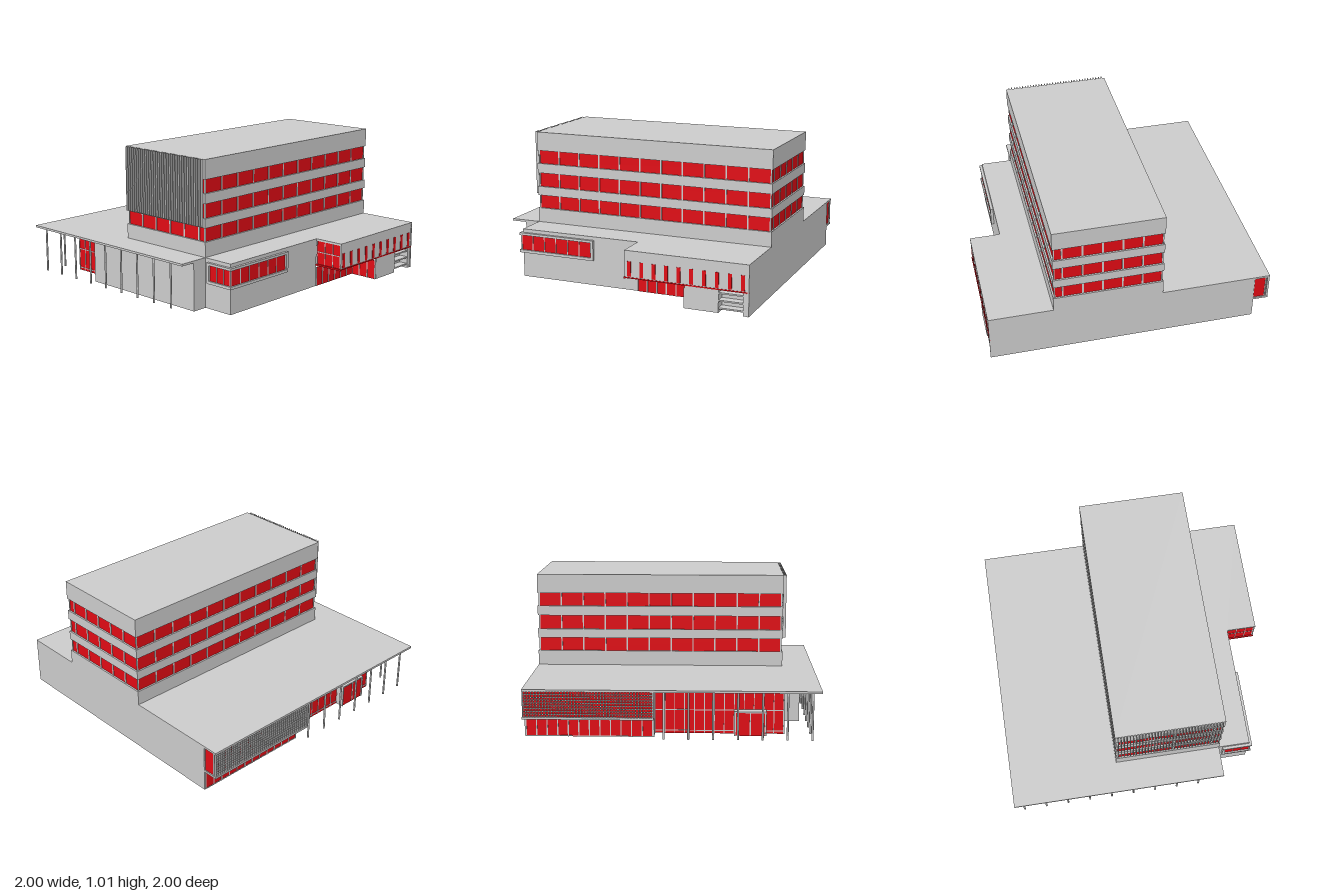
import * as THREE from 'three';

export function createModel() {
  const model = new THREE.Group();
  const grey = new THREE.MeshStandardMaterial({ color: 0xcccccc });
  const red = new THREE.MeshStandardMaterial({ color: 0xe00b14 });

  // Box given by its limits on each axis
  function box(name, mat, x0, x1, y0, y1, z0, z1, parent = model) {
    const mesh = new THREE.Mesh(new THREE.BoxGeometry(x1 - x0, y1 - y0, z1 - z0), mat);
    mesh.position.set((x0 + x1) / 2, (y0 + y1) / 2, (z0 + z1) / 2);
    mesh.name = name;
    parent.add(mesh);
    return mesh;
  }

  function group(name) {
    const g = new THREE.Group();
    g.name = name;
    model.add(g);
    return g;
  }

  // Upright strip: axis is the direction it runs along, c its centre plane
  function strip(name, mat, axis, c, half, a0, a1, y0, y1, parent) {
    if (axis === 'x') box(name, mat, a0, a1, y0, y1, c - half, c + half, parent);
    else box(name, mat, c - half, c + half, y0, y1, a0, a1, parent);
  }

  // Glass sheet with vertical bars at even steps and horizontal bars at given heights
  function glazing(name, axis, c, a0, a1, y0, y1, step, rows = [], w = 0.008) {
    const g = group(name);
    strip('glass', red, axis, c, 0.002, a0, a1, y0, y1, g);
    const n = Math.max(1, Math.round((a1 - a0) / step));
    for (let i = 0; i <= n; i++) {
      const a = a0 + ((a1 - a0) * i) / n;
      strip('mullion', grey, axis, c, 0.005, a - w / 2, a + w / 2, y0, y1, g);
    }
    for (const y of rows) strip('transom', grey, axis, c, 0.0045, a0, a1, y - 0.003, y + 0.003, g);
  }

  // Main roof slab over the whole footprint
  const outline = [[-1, 1], [0.55, 1], [0.55, 0.78], [0.78, 0.78], [0.78, -0.12], [1, -0.12],
    [1, -1], [-1, -1]].map(([x, z]) => new THREE.Vector2(x, -z));
  const roofGeo = new THREE.ExtrudeGeometry(new THREE.Shape(outline), { depth: 0.015, bevelEnabled: false });
  roofGeo.rotateX(-Math.PI / 2);
  const roof = new THREE.Mesh(roofGeo, grey);
  roof.name = 'baseRoof';
  roof.position.y = 0.335;
  model.add(roof);

  // Ground floor walls, open underneath
  const T = 0.01, H = 0.335;
  box('backWall', grey, -0.89, 1, 0, H, -1, -1 + T);
  box('frontWall', grey, -0.46, 0.55, 0, H, 0.89 - T, 0.89);
  box('frontWallReturnLeft', grey, 0.55 - T, 0.55, 0, H, 0.78 - T, 0.89 - T);
  box('frontWallReturnRight', grey, -0.46, -0.46 + T, 0, H, 0.76, 0.89 - T);
  box('stepFrontWall', grey, 0.55, 0.78, 0, H, 0.78 - T, 0.78);
  box('stepSideWall', grey, 0.78 - T, 0.78, 0, H, -0.12, 0.78 - T);

  // Glazed lobby corner
  glazing('lobbyFrontGlazing', 'x', 0.76, -0.785, -0.46, 0, H, 0.065, [0.02, 0.165, 0.305, 0.33], 0.006);
  glazing('lobbySideGlazing', 'z', -0.785, -0.12, 0.76, 0, H, 0.068, [0.02, 0.165, 0.305, 0.33], 0.006);

  // Entrance porch set through the side glazing
  const porch = group('entrancePorch');
  box('porchRoof', grey, -0.85, -0.72, 0.16, 0.17, 0.42, 0.64, porch);
  for (const z of [0.42, 0.632]) box('porchCheek', grey, -0.85, -0.72, 0, 0.16, z, z + 0.008, porch);
  glazing('porchDoors', 'z', -0.842, 0.428, 0.632, 0, 0.16, 0.1);

  // Left gallery overhanging its lower windows
  box('galleryStepWall', grey, -0.89, -0.785, 0, H, -0.12 - T, -0.12);
  glazing('galleryLowerGlazing', 'z', -0.89, -0.99, -0.13, 0, 0.145, 0.072, [0.004, 0.14]);
  box('gallerySoffit', grey, -1, -0.885, 0.145, 0.16, -1, -0.12);
  box('galleryFrontEnd', grey, -1, -0.89, 0.16, H, -0.12 - T, -0.12);
  glazing('galleryBackEnd', 'x', -0.99, -0.975, -0.89, 0.16, H, 0.085);
  box('galleryGlass', red, -0.98, -0.975, 0.16, H, -0.99, -0.13);
  const screen = group('galleryScreen');
  for (let i = 0; i <= 44; i++) {
    const z = -0.995 + i * 0.0194;
    box('screenBar', grey, -1, -0.985, 0.16, H, z - 0.002, z + 0.002, screen);
  }
  for (let i = 1; i < 9; i++) {
    const y = 0.16 + i * 0.0194;
    box('screenRail', grey, -0.997, -0.987, y - 0.002, y + 0.002, -0.995, -0.13, screen);
  }

  // Slender columns below the roof edge
  const columns = group('columns');
  const column = (x, z) => {
    const m = new THREE.Mesh(new THREE.CylinderGeometry(0.007, 0.007, H, 12), grey);
    m.position.set(x, H / 2, z);
    m.name = 'column';
    columns.add(m);
  };
  for (let i = 0; i < 9; i++) column(-0.945 + i * 0.1663, 0.943);
  for (let i = 1; i < 7; i++) column(-0.945, 0.943 - i * 0.1663);

  // Corner bay window with a projecting frame
  const bay = group('bayWindowFrame');
  for (const [y0, y1] of [[0.18, 0.2], [0.308, 0.325]]) {
    box('frontRail', grey, 0.58, 0.8, y0, y1, 0.78, 0.8, bay);
    box('sideRail', grey, 0.78, 0.8, y0, y1, 0.215, 0.78, bay);
  }
  box('frontJamb', grey, 0.58, 0.598, 0.2, 0.308, 0.78, 0.8, bay);
  box('sideJamb', grey, 0.78, 0.8, 0.2, 0.308, 0.215, 0.235, bay);
  glazing('bayFrontGlazing', 'x', 0.787, 0.598, 0.789, 0.2, 0.308, 0.064, [], 0.005);
  glazing('baySideGlazing', 'z', 0.787, 0.235, 0.789, 0.2, 0.308, 0.092, [], 0.006);

  // Right wing: raised upper storey with slit windows
  box('wingUpperWall', grey, 0.985, 0.996, 0.16, H, -0.99, -0.125);
  for (let i = 0; i < 10; i++) {
    const z = -0.155 - i * 0.0892;
    box('slitWindow', red, 0.99, 0.999, 0.17, 0.275, z - 0.013, z + 0.013);
  }
  glazing('wingFrontGlazing', 'x', -0.127, 0.785, 0.995, 0.165, H, 0.07, [0.255], 0.005);
  box('wingSoffit', grey, 0.78, 0.993, 0.155, 0.165, -0.99, -0.125);
  box('wingSideEdge', red, 0.993, 1, 0.157, 0.165, -1, -0.115);
  box('wingFrontEdge', red, 0.775, 1, 0.153, 0.165, -0.125, -0.115);

  // Recessed lower storey below the wing
  glazing('undercroftSideGlazing', 'z', 0.782, -0.55, -0.12, 0, 0.14, 0.072);
  glazing('undercroftFrontGlazing', 'x', -0.55, 0.78, 0.99, 0, 0.14, 0.07);
  box('lowerWallFront', grey, 0.985, 0.995, 0, 0.155, -0.79, -0.555);
  box('lowerWallBack', grey, 0.985, 0.995, 0, 0.155, -0.99, -0.96);
  const vent = group('ventLouvres');
  box('ventBack', grey, 0.92, 0.925, 0, 0.155, -0.96, -0.79, vent);
  for (const z of [-0.965, -0.79]) box('ventCheek', grey, 0.92, 0.985, 0, 0.155, z, z + 0.005, vent);
  for (const y of [0.03, 0.082, 0.134]) box('louvre', grey, 0.93, 0.992, y - 0.005, y + 0.005, -0.96, -0.79, vent);

  // Tower: solid bands around a recessed glass core
  const X0 = -0.22, X1 = 0.55, Z0 = -1, Z1 = 0.78;
  const tower = group('tower');
  for (const [y0, y1] of [[0.35, 0.455], [0.55, 0.615], [0.715, 0.785], [0.88, 1.015]])
    box('towerBand', grey, X0, X1, y0, y1, Z0, Z1, tower);
  const R = 0.012;
  for (const [y0, y1] of [[0.455, 0.55], [0.615, 0.715], [0.785, 0.88]]) {
    box('towerGlass', red, X0 + R, X1 - R, y0, y1, Z0 + R, Z1 - R, tower);
    // Mullions on the long sides
    for (let i = 0; i <= 11; i++) {
      const z = Z0 + R + (i * (Z1 - Z0 - 2 * R)) / 11;
      for (const x of [X0 + R, X1 - R])
        box('towerMullion', grey, x - 0.004, x + 0.004, y0, y1, z - 0.005, z + 0.005, tower);
    }
    // Mullions on the short ends
    for (let i = 0; i < 5; i++) {
      const x = -0.072 + i * 0.1385;
      for (const z of [Z0 + R, Z1 - R])
        box('towerMullion', grey, x - 0.006, x + 0.006, y0, y1, z - 0.004, z + 0.004, tower);
    }
  }

  // Vertical sun fins on the tower front
  const fins = group('sunFins');
  for (let i = 0; i < 35; i++) {
    const x = -0.2 + i * 0.0214;
    box('fin', grey, x - 0.003, x + 0.003, 0.557, 1.015, Z1, 0.802, fins);
  }
  return model;
}
